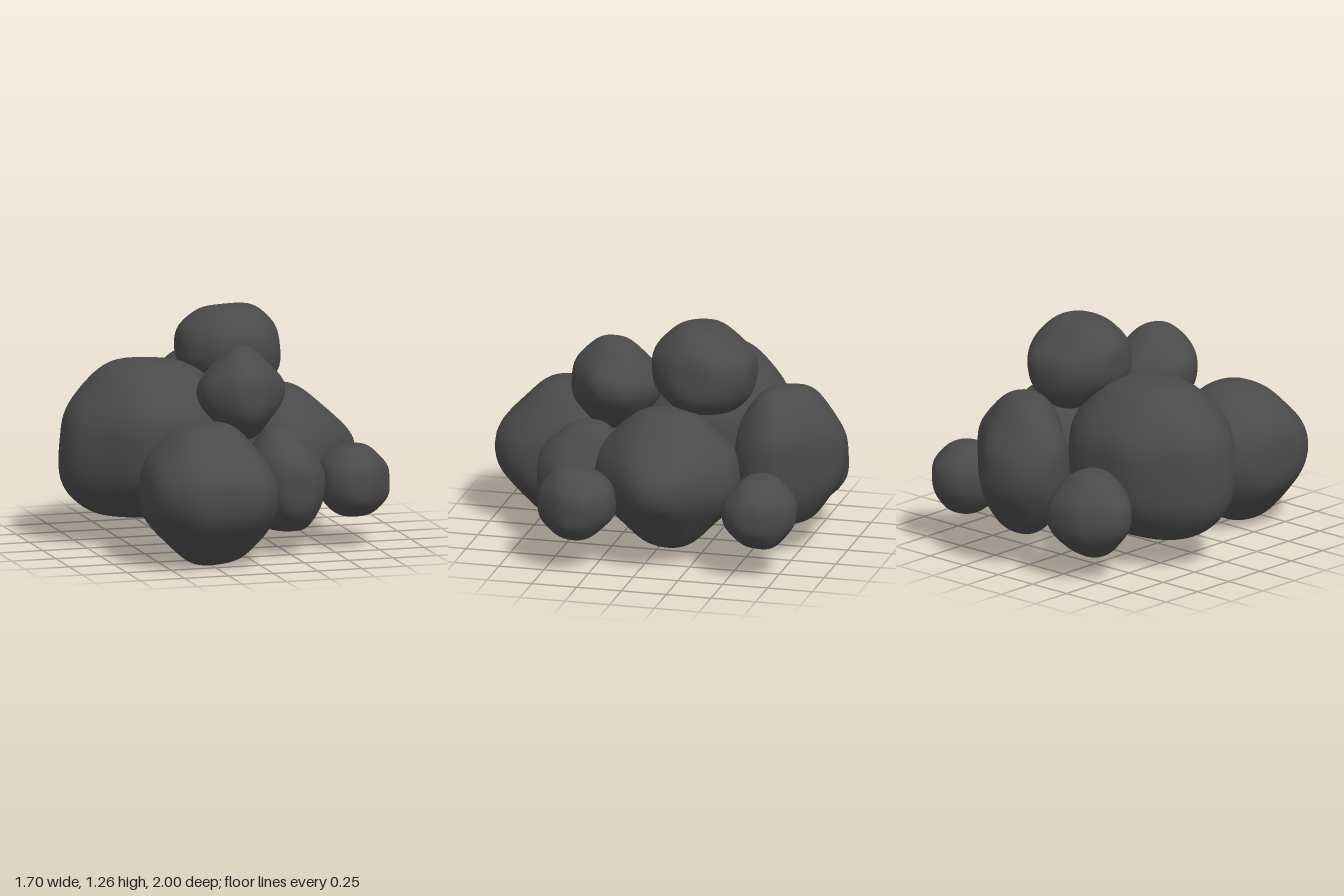
import * as THREE from 'three';
import { mergeVertices } from 'three/addons/utils/BufferGeometryUtils.js';

const charcoal = new THREE.MeshStandardMaterial({ color: 0x4a4a4a });
charcoal.name = 'charcoalStone';

// Smooth rolling noise from a few waves, shifted per rock
function ripple(d, seed) {
  const a = Math.sin(4.1 * d.x + 2.3 * d.y + seed * 1.7);
  const b = Math.sin(4.6 * d.y - 2.9 * d.z + seed * 2.9);
  const c = Math.sin(4.4 * d.z + 2.7 * d.x + seed * 4.3);
  return a + b + c;
}

// Worn faces of a rock: 6 sides at distance 1, 12 edges at the given distances, 8 corners between them.
// Each list of edges runs upper left, upper right, lower left, lower right in its own view.
function rockFaces(front, side, top) {
  const faces = [];
  const addFace = (x, y, z, distance) =>
    faces.push({ normal: new THREE.Vector3(x, y, z).normalize(), distance });
  const pick = (list, right, up) => list[(right > 0 ? 1 : 0) + (up > 0 ? 0 : 2)];
  for (const a of [-1, 1]) {
    addFace(a, 0, 0, 1);
    addFace(0, a, 0, 1);
    addFace(0, 0, a, 1);
    for (const b of [-1, 1]) {
      addFace(a, b, 0, pick(front, a, b));
      addFace(0, b, a, pick(side, -a, b));
      addFace(a, 0, b, pick(top, a, -b));
      for (const c of [-1, 1]) {
        const mean = (pick(front, a, b) + pick(side, -c, b) + pick(top, a, -c)) / 3;
        addFace(a, b, c, 1 + 1.4 * (mean - 1));
      }
    }
  }
  return faces;
}

// Ball carved by the faces with soft edges, then roughened
function rockGeometry(size, faces, seed) {
  let geo = new THREE.IcosahedronGeometry(1, 13);
  geo.deleteAttribute('normal');
  geo.deleteAttribute('uv');
  geo = mergeVertices(geo, 1e-4);
  const pos = geo.attributes.position;
  const d = new THREE.Vector3();
  const sharpness = 13;
  for (let i = 0; i < pos.count; i++) {
    d.fromBufferAttribute(pos, i).normalize();
    let sum = 0;
    for (const { normal, distance } of faces) sum += Math.max(0, d.dot(normal) / distance) ** sharpness;
    const r = sum ** (-1 / sharpness) * (1 + 0.012 * ripple(d, seed));
    pos.setXYZ(i, d.x * r, d.y * r, d.z * r);
  }
  // Give the rock its own width, height and depth
  geo.center();
  const span = geo.boundingBox.getSize(new THREE.Vector3());
  geo.scale(size[0] / span.x, size[1] / span.y, size[2] / span.z);
  geo.computeVertexNormals();
  return geo;
}

export function createModel() {
  const group = new THREE.Group();
  group.name = 'rockPile';

  function addRock(name, centre, size, front, side, top) {
    const seed = group.children.length + 1;
    const mesh = new THREE.Mesh(rockGeometry(size, rockFaces(front, side, top), seed), charcoal);
    mesh.name = name;
    mesh.position.set(...centre);
    group.add(mesh);
  }

  // Large boulders at the base
  addRock('largeLeftBoulder', [-0.36, 0.56, -0.145], [0.98, 0.85, 0.85],
    [1, 1.05, 1.16, 1.05], [1.03, 1.03, 1.03, 1.03], [0.98, 1.05, 0.97, 1]);
  addRock('largeRightBoulder', [0.39, 0.45, -0.09], [0.78, 0.76, 0.8],
    [1.02, 0.82, 1.02, 0.85], [1.02, 1, 0.93, 0.95], [1, 0.85, 1, 0.83]);
  addRock('frontBoulder', [-0.255, 0.385, 0.625], [0.71, 0.77, 0.75],
    [1.07, 1, 0.95, 1.05], [0.94, 1.05, 0.9, 0.93], [1.06, 1, 1.05, 1.14]);
  addRock('backBoulder', [0.095, 0.55, -0.71], [0.65, 0.76, 0.58],
    [1, 1, 1, 1], [1.05, 0.93, 1, 0.95], [1.15, 0.72, 0.8, 1.1]);

  // Small stones around the base
  addRock('frontStone', [0.24, 0.405, 0.4], [0.42, 0.57, 0.52],
    [1.02, 0.85, 1.05, 1.1], [0.98, 1, 1.08, 1], [1, 1, 1.06, 1.05]);
  addRock('smallRightStone', [0.655, 0.365, 0.345], [0.39, 0.39, 0.43],
    [1.05, 0.95, 1.1, 1.09], [1.07, 1.12, 1.07, 1], [0.96, 1, 1.05, 0.86]);
  addRock('backLeftStone', [-0.4, 0.36, -0.685], [0.48, 0.48, 0.43],
    [0.95, 1, 0.95, 1], [1, 0.95, 1, 0.95], [0.93, 1.15, 0.93, 1]);
  addRock('backRightStone', [0.55, 0.365, -0.655], [0.4, 0.4, 0.4],
    [1, 0.98, 1, 0.98], [1, 1, 1, 1], [1, 0.92, 1, 1.03]);

  // Stones resting on top
  addRock('upperFrontStone', [0.04, 0.865, 0.28], [0.48, 0.51, 0.5],
    [0.88, 0.85, 0.93, 0.88], [1, 0.88, 1.02, 0.9], [0.98, 0.98, 0.98, 0.87]);
  addRock('topStone', [0.11, 1.015, -0.23], [0.56, 0.49, 0.56],
    [1.1, 1.07, 0.9, 1.1], [1.05, 0.87, 1.05, 1.1], [1.01, 1.04, 0.98, 1.01]);

  return group;
}
